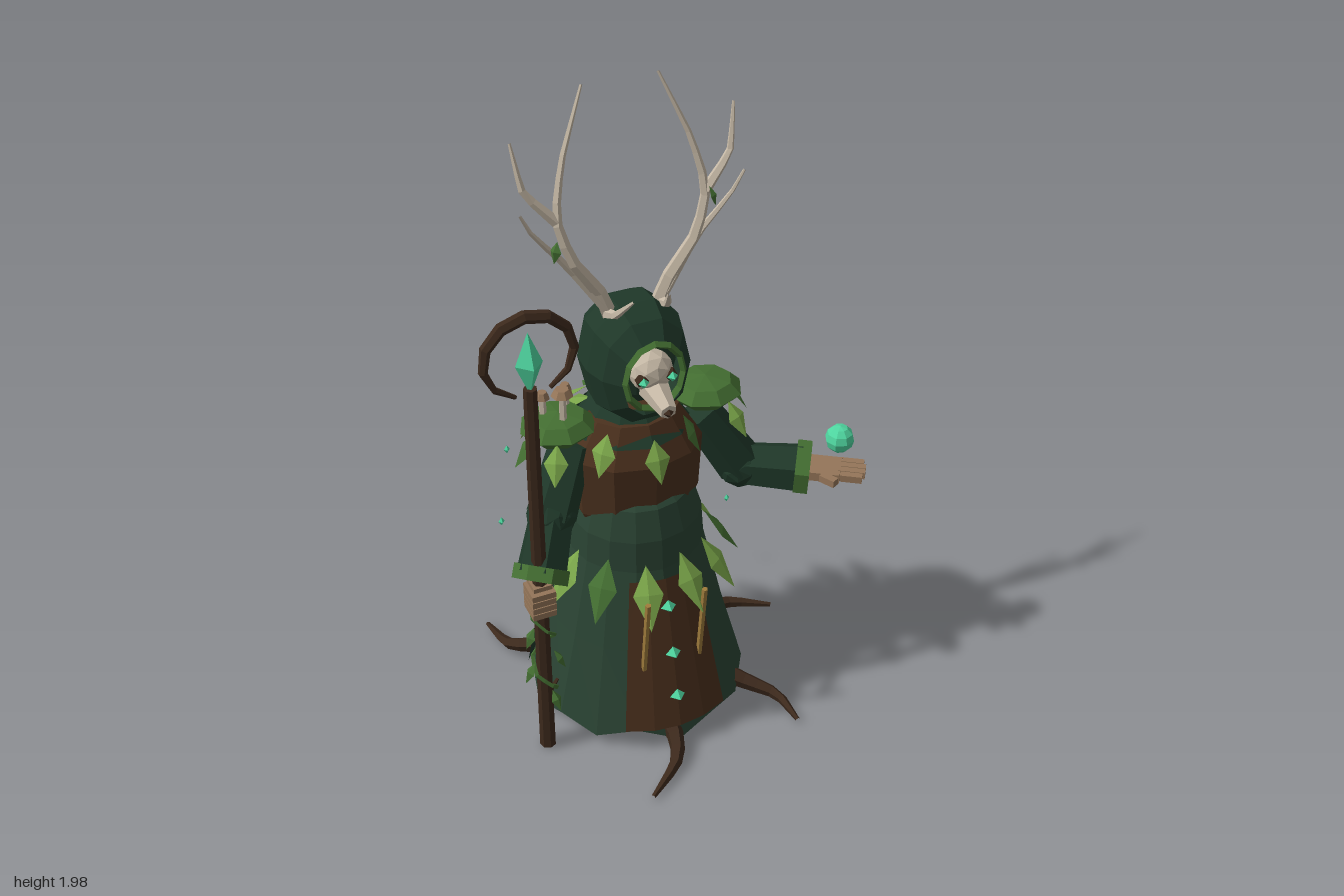
import * as THREE from 'three';

const V = (x, y, z) => new THREE.Vector3(x, y, z);
const CX = -0.08; // body axis

export function createModel() {
  const root = new THREE.Group();
  root.name = 'forestShaman';
  const mat = (name, color, double) => {
    const m = new THREE.MeshStandardMaterial({ color });
    m.name = name;
    if (double) m.side = THREE.DoubleSide;
    return m;
  };
  const robeM = mat('robeGreen', 0x2a4333, true), cloakM = mat('deepGreen', 0x1f3829, true);
  const barkM = mat('barkBrown', 0x4a301d), rootM = mat('darkBark', 0x3c291c);
  const leafM = mat('leafGreen', 0x7aa549, true), mossM = mat('mossGreen', 0x446f32, true);
  const boneM = mat('bone', 0xc6b9a6), glowM = mat('glowGreen', 0x4fd6a0);
  const woodM = mat('handWood', 0x957659), goldM = mat('goldCord', 0xa07c3c);

  // Faceted mesh
  const add = (parent, name, geo, m, x = 0, y = 0, z = 0) => {
    const g = geo.index ? geo.toNonIndexed() : geo;
    g.computeVertexNormals();
    const o = new THREE.Mesh(g, m);
    o.name = name;
    o.position.set(x, y, z);
    parent.add(o);
    return o;
  };
  const rod = (parent, name, a, b, ra, rb, m, sides = 6) => {
    const d = b.clone().sub(a);
    const o = add(parent, name, new THREE.CylinderGeometry(rb, ra, d.length(), sides), m);
    o.position.copy(a).addScaledVector(d, 0.5);
    o.quaternion.setFromUnitVectors(V(0, 1, 0), d.normalize());
    return o;
  };
  // Angular branch whose radius follows a rule
  const branch = (parent, name, pts, radius, m, segs = 6, sides = 5) => {
    const c = new THREE.CatmullRomCurve3(pts, false, 'catmullrom', 0.15);
    const g = new THREE.TubeGeometry(c, segs, 1, sides), p = g.attributes.position;
    const v = V(0, 0, 0);
    for (let i = 0; i < p.count; i++) {
      const t = Math.floor(i / (sides + 1)) / segs, q = c.getPointAt(t);
      v.fromBufferAttribute(p, i).sub(q).multiplyScalar(radius(t)).add(q);
      p.setXYZ(i, v.x, v.y, v.z);
    }
    return add(parent, name, g, m);
  };
  const taper = (a, b) => t => a + (b - a) * t;
  const leaf = (parent, pos, angle, flare, len, half, m, name = 'leaf') => {
    const g = new THREE.BufferGeometry(), k = -0.45 * len;
    g.setAttribute('position', new THREE.Float32BufferAttribute(
      [0, 0, 0, -half, k, 0, 0, k, 0.012, half, k, 0, 0, -len, 0], 3));
    g.setIndex([0, 1, 2, 0, 2, 3, 1, 4, 2, 2, 4, 3]);
    const o = add(parent, name, g, m, pos.x, pos.y, pos.z);
    o.rotation.set(-flare, angle, 0, 'YXZ');
    return o;
  };
  const gem = (parent, name, x, y, z, w, h) =>
    add(parent, name, new THREE.OctahedronGeometry(1).scale(w, h, w), glowM, x, y, z);
  const lathe = (pts, n) => new THREE.LatheGeometry(pts.map(p => new THREE.Vector2(...p)), n);

  const body = new THREE.Group();
  body.name = 'body';
  body.position.x = CX;
  root.add(body);

  // Robe with ragged hem
  const robeR = y => 0.2 + (0.6 - y) * 0.23;
  const robe = lathe([[0.325, 0.07], [robeR(0.35), 0.35], [0.2, 0.6], [0.193, 0.7], [0.165, 0.79], [0.12, 0.83], [0, 0.84]], 16);
  const rp = robe.attributes.position;
  for (let i = 0; i < rp.count; i++) {
    if (rp.getY(i) < 0.1) rp.setY(i, [0.04, 0.09, 0.06, 0.1][Math.floor(i / 7) % 4]);
  }
  add(body, 'robe', robe, robeM);
  add(body, 'torso', lathe([[0.15, 0.66], [0.19, 0.75], [0.2, 0.93], [0.13, 1.04], [0, 1.06]], 10).scale(1, 1, 0.8), barkM);

  // Folded cloak
  const cols = 8;
  const cloak = new THREE.CylinderGeometry(0.18, 0.33, 0.96, cols, 3, true, Math.PI - 1.1, 2.2);
  const cp = cloak.attributes.position;
  for (let i = 0; i < cp.count; i++) {
    const c = i % (cols + 1), t = Math.floor(i / (cols + 1)) / 3, s = 1 + (c % 2 ? -0.04 : 0.03) * t;
    cp.setXYZ(i, cp.getX(i) * s, cp.getY(i) + (t === 1 && c % 2 ? 0.04 : 0), cp.getZ(i) * s * (0.85 + 0.11 * t));
  }
  add(body, 'cloak', cloak, cloakM, 0, 0.55, 0);
  add(body, 'mantle', new THREE.CylinderGeometry(0.1, 0.17, 0.09, 10, 1, true), cloakM, 0, 1.03, -0.03);

  // Apron following the robe front
  const apron = new THREE.PlaneGeometry(2, 1, 4, 4), ap = apron.attributes.position;
  for (let i = 0; i < ap.count; i++) {
    const y = 0.34 + ap.getY(i) * 0.48, r = robeR(y) + 0.015;
    const x = ap.getX(i) * (0.16 - (y - 0.1) * 0.12);
    ap.setXYZ(i, x, y, Math.sqrt(r * r - x * x));
  }
  add(body, 'apron', apron, barkM);
  for (const y of [0.49, 0.34, 0.2]) gem(body, 'apronGem', 0, y, robeR(y) + 0.01, 0.026, 0.022);
  for (const s of [-1, 1])
    rod(body, 'cord', V(s * 0.088, 0.57, 0.295), V(s * 0.088, 0.3, 0.262), 0.009, 0.009, goldM, 5);

  // Waist and collar leaves
  const ring = (name, angles, r, y, flare, len, half) => angles.forEach((a, i) =>
    leaf(body, V(Math.sin(a) * r, y - (i % 2) * 0.015, Math.cos(a) * r), a, flare, len, half, i % 4 === 2 ? mossM : leafM, name));
  ring('waistLeaf', Array.from({ length: 12 }, (_, i) => (i + 0.5) * Math.PI / 6), 0.205, 0.645, 0.6, 0.19, 0.044);
  ring('backCollarLeaf', Array.from({ length: 7 }, (_, i) => 1.85 + i * 0.43), 0.18, 1.03, 0.8, 0.17, 0.044);
  ring('backMantleLeaf', Array.from({ length: 4 }, (_, i) => 2.3 + i * 0.56), 0.13, 1.06, 1.1, 0.12, 0.04);
  ring('frontCollarLeaf', [-0.95, 0, 0.95], 0.14, 1.03, 0.4, 0.13, 0.038);

  // Hood with open face
  const hoodGeo = new THREE.SphereGeometry(1, 10, 6, 0, Math.PI * 2, 0.6, Math.PI - 0.6).rotateX(Math.PI / 2);
  const hp = hoodGeo.attributes.position, pw = v => Math.sign(v) * Math.abs(v) ** 0.9;
  for (let i = 0; i < hp.count; i++)
    hp.setXYZ(i, pw(hp.getX(i)) * 0.15, pw(hp.getY(i)) * 0.188, pw(hp.getZ(i)) * 0.165);
  add(body, 'hood', hoodGeo, cloakM, 0, 1.213, 0);
  add(body, 'hoodShadow', new THREE.SphereGeometry(1, 10, 6).scale(0.12, 0.14, 0.115), cloakM, 0, 1.215, 0);
  add(body, 'hoodRim', new THREE.TorusGeometry(1, 0.11, 4, 12).scale(0.085, 0.102, 0.12), mossM, 0, 1.225, 0.143);

  // Skull mask
  add(body, 'skull', new THREE.IcosahedronGeometry(1, 1).scale(0.064, 0.062, 0.055), boneM, 0, 1.232, 0.118);
  rod(body, 'snout', V(0, 1.19, 0.13), V(0, 1.168, 0.235), 0.044, 0.024, boneM, 6);
  add(body, 'nose', new THREE.OctahedronGeometry(0.015), rootM, 0, 1.165, 0.235);
  for (const s of [-1, 1]) {
    add(body, 'eyeSocket', new THREE.IcosahedronGeometry(0.021), rootM, s * 0.04, 1.23, 0.152);
    add(body, 'eye', new THREE.OctahedronGeometry(0.016), glowM, s * 0.042, 1.23, 0.168);

    // Antler: main beam and tines
    const path = a => a.map(p => V(s * p[0], p[1], p[2]));
    branch(body, 'antlerBeam', path([[0.06, 1.33, 0], [0.1, 1.44, 0.01], [0.18, 1.56, 0.015], [0.212, 1.68, 0], [0.18, 1.82, -0.03], [0.105, 2, -0.07]]), taper(0.023, 0.004), boneM, 12);
    const tines = [
      [[0.09, 1.4, 0.01], [0.19, 1.54, -0.005], [0.28, 1.65, 0.01], [0.315, 1.72, 0.02]],
      [[0.21, 1.67, 0], [0.29, 1.76, -0.02], [0.31, 1.89, -0.045]],
      [[0.08, 1.37, 0.01], [0.075, 1.39, 0.06], [0.05, 1.46, 0.125]]];
    tines.forEach(t => branch(body, 'antlerTine', path(t), taper(0.016, 0.004), boneM, 6));
    leaf(body, V(s * 0.215, s > 0 ? 1.69 : 1.62, 0.015), s, 0.3, 0.06, 0.018, mossM, 'antlerLeaf');

    // Shoulder pad
    add(body, 'shoulderPad', new THREE.SphereGeometry(1, 8, 4).scale(0.11, 0.045, 0.105), mossM, s * 0.225, 1.035, -0.01);
    for (const a of [0.5, 1.6, 2.6])
      leaf(body, V(s * (0.23 + 0.06 * Math.sin(a)), 1.03, 0.08 * Math.cos(a)), s * a, 0.6, 0.12, 0.034, a === 1.6 ? mossM : leafM, 'shoulderLeaf');
  }

  // Shoulder mushrooms
  for (const [x, y, z, r] of [[-0.34, 1.125, -0.03, 0.022], [-0.3, 1.155, 0.02, 0.032], [-0.265, 1.12, -0.05, 0.02]]) {
    rod(root, 'mushroomStem', V(x, 1.04, z), V(x, y, z), 0.012, 0.01, boneM, 5);
    add(root, 'mushroomCap', new THREE.CylinderGeometry(r * 0.6, r, 0.02, 7), woodM, x, y + 0.006, z);
  }

  // Arms
  const arm = (a, b, c, cuffDir) => {
    rod(root, 'upperSleeve', a, b, 0.06, 0.072, cloakM);
    add(root, 'elbow', new THREE.IcosahedronGeometry(0.072, 1), cloakM, b.x, b.y, b.z);
    rod(root, 'forearmSleeve', b, c, 0.066, 0.076, cloakM);
    rod(root, 'cuff', c.clone().addScaledVector(cuffDir, -0.02), c.clone().addScaledVector(cuffDir, 0.022), 0.081, 0.081, mossM, 7);
  };
  arm(V(-0.27, 0.97, 0), V(-0.36, 0.785, 0.06), V(-0.43, 0.665, 0.15), V(-0.4, -0.75, 0.5).normalize());
  arm(V(0.12, 0.97, 0), V(0.245, 0.765, 0.03), V(0.4, 0.765, 0.125), V(0.85, -0.05, 0.52).normalize());

  // Open left hand
  const palm = new THREE.Group();
  palm.name = 'openHand';
  palm.position.set(0.455, 0.765, 0.155);
  palm.rotation.y = -0.6;
  root.add(palm);
  add(palm, 'palm', new THREE.BoxGeometry(0.1, 0.028, 0.092), woodM);
  for (let i = 0; i < 4; i++)
    add(palm, 'finger', new THREE.BoxGeometry(i % 3 ? 0.078 : 0.064, 0.022, 0.021), woodM, 0.083, 0.004, -0.035 + i * 0.0235);
  add(palm, 'thumb', new THREE.BoxGeometry(0.05, 0.022, 0.024), woodM, 0.02, 0.004, 0.058).rotation.y = -0.5;
  add(root, 'orb', new THREE.SphereGeometry(0.043, 8, 6), glowM, 0.484, 0.885, 0.185);

  // Gripping right hand
  add(root, 'fist', new THREE.BoxGeometry(0.055, 0.1, 0.06), woodM, -0.44, 0.6, 0.16);
  for (let i = 0; i < 4; i++)
    add(root, 'gripFinger', new THREE.BoxGeometry(0.07, 0.019, 0.075), woodM, -0.443, 0.56 + i * 0.022, 0.168);

  // Staff with crook, crystal and vine
  const sx = -0.44, sz = 0.165;
  rod(root, 'staff', V(sx, 0.025, sz), V(sx, 1.3, sz), 0.024, 0.019, rootM, 7);
  const arc = Array.from({ length: 11 }, (_, i) => {
    const a = -1.9 - i * 0.55;
    return V(sx + Math.cos(a) * 0.125, 1.397 + Math.sin(a) * 0.12, sz);
  });
  branch(root, 'staffCrook', arc, t => 0.006 + 0.012 * Math.sin(Math.PI * t), rootM, 10, 6);
  gem(root, 'staffCrystal', sx, 1.375, sz, 0.038, 0.095);
  const vine = Array.from({ length: 9 }, (_, i) =>
    V(sx + Math.cos(i * 1.3) * 0.035, 0.24 + i * 0.042, sz + Math.sin(i * 1.3) * 0.035));
  branch(root, 'vine', vine, taper(0.008, 0.005), mossM, 16, 4);
  [[0.5, -1.2], [0.4, 1], [0.36, -1.4], [0.26, 0.4]].forEach(([y, a]) =>
    leaf(root, V(sx + Math.sin(a) * 0.03, y, sz + Math.cos(a) * 0.03), a, 0.5, 0.07, 0.018, mossM, 'vineLeaf'));
  rod(root, 'staffTwig', V(sx, 0.21, sz), V(sx + 0.05, 0.24, sz - 0.03), 0.01, 0.005, rootM, 5);

  // Roots spreading over the ground
  [[[-0.02, -0.22], [-0.04, -0.37], [0, -0.44], [0.095, -0.505]],
    [[-0.26, -0.15], [-0.4, -0.24], [-0.415, -0.3], [-0.43, -0.4]],
    [[0.17, -0.08], [0.24, -0.155], [0.33, -0.165], [0.445, -0.11]],
    [[0.12, 0.15], [0.2, 0.21], [0.27, 0.28], [0.28, 0.395]],
    [[-0.1, 0.24], [-0.1, 0.35], [-0.14, 0.42], [-0.245, 0.5]]].forEach(p =>
    branch(root, 'root', p.map(([x, z], i) => V(x, [0.1, 0.065, 0.045, 0.035][i], z)), taper(0.035, 0.007), rootM, 7));

  // Loose leaves and floating shards
  leaf(root, V(0.22, 0.145, -0.235), 1.9, 0.3, 0.13, 0.04, leafM, 'rootLeaf');
  leaf(root, V(0.49, 0.76, 0.1), 1.2, 0.9, 0.04, 0.013, leafM, 'handLeaf');
  [[-0.51, 0.82, 0.07], [-0.37, 0.795, -0.275], [0, 0.68, -0.385], [0.3, 0.485, -0.16]].forEach(p =>
    gem(root, 'floatingShard', ...p, 0.009, 0.014));

  return root;
}
